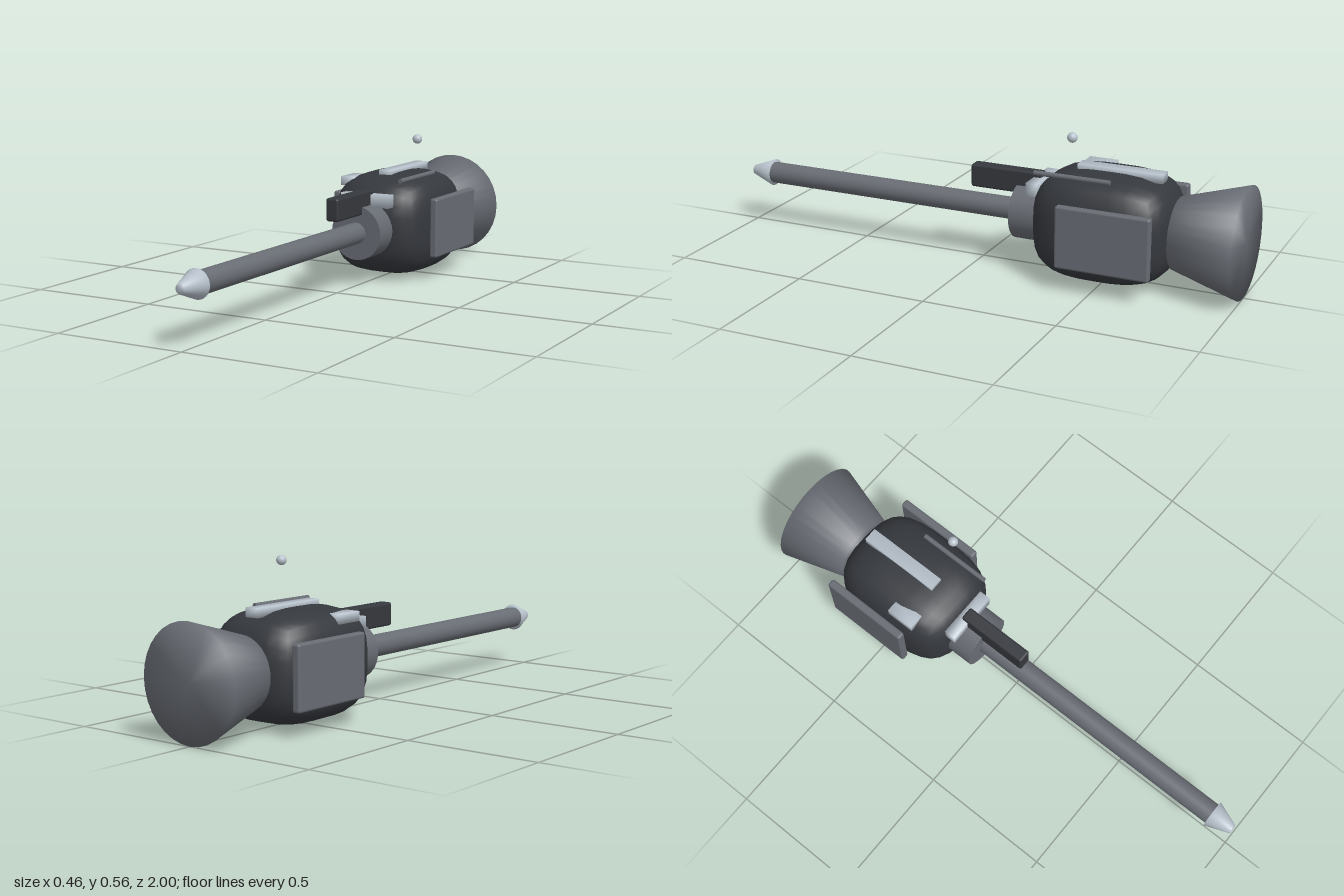
import * as THREE from 'three';
import { mergeVertices } from 'three/addons/utils/BufferGeometryUtils.js';
import { RoundedBoxGeometry } from 'three/addons/geometries/RoundedBoxGeometry.js';

const AXIS_Y = 0.205;
const dark = new THREE.MeshStandardMaterial({ color: 0x35383d });
const mid = new THREE.MeshStandardMaterial({ color: 0x686c73 });
const light = new THREE.MeshStandardMaterial({ color: 0xb8c2cc });

// Shares vertices so that the normals run smoothly over every edge
function smooth(geometry) {
  geometry.deleteAttribute('uv');
  geometry.deleteAttribute('normal');
  const merged = mergeVertices(geometry, 1e-4);
  merged.computeVertexNormals();
  return merged;
}

// Closed round section along z, from the back to the front
function round(zBack, zFront, rBack, rFront) {
  const g = new THREE.CylinderGeometry(rFront, rBack, zFront - zBack, 32);
  g.rotateX(Math.PI / 2);
  g.translate(0, AXIS_Y, (zBack + zFront) / 2);
  return g;
}

// Box given by its limits, with rounded edges
function roundedBox(x0, x1, y0, y1, z0, z1, radius) {
  const g = new RoundedBoxGeometry(x1 - x0, y1 - y0, z1 - z0, 2, radius);
  g.translate((x0 + x1) / 2, (y0 + y1) / 2, (z0 + z1) / 2);
  return g;
}

// Box given by its limits, shaded softly over its edges
function softBox(x0, x1, y0, y1, z0, z1) {
  const g = new THREE.BoxGeometry(x1 - x0, y1 - y0, z1 - z0);
  g.translate((x0 + x1) / 2, (y0 + y1) / 2, (z0 + z1) / 2);
  return smooth(g);
}

// Cube pushed out to a superellipsoid
function pillow(halfX, halfY, halfZ, power) {
  const g = smooth(new THREE.BoxGeometry(2, 2, 2, 8, 8, 8));
  const p = g.attributes.position;
  const v = new THREE.Vector3();
  for (let i = 0; i < p.count; i++) {
    v.fromBufferAttribute(p, i);
    const sum = Math.abs(v.x) ** power + Math.abs(v.y) ** power + Math.abs(v.z) ** power;
    v.multiplyScalar(sum ** (-1 / power));
    p.setXYZ(i, v.x * halfX, v.y * halfY, v.z * halfZ);
  }
  g.computeVertexNormals();
  return g;
}

export function createModel() {
  const model = new THREE.Group();
  model.name = 'model';
  const add = (name, geometry, material) => {
    const mesh = new THREE.Mesh(geometry, material);
    mesh.name = name;
    model.add(mesh);
    return mesh;
  };

  // Body and the flared nozzle behind it
  add('body', pillow(0.205, 0.198, 0.262, 3.2), dark).position.set(0, 0.207, -0.496);
  add('nozzle', smooth(round(-1, -0.755, 0.204, 0.132)), mid);

  // Barrel with its collar and tip
  add('collar', round(-0.26, -0.145, 0.104, 0.104), mid);
  add('barrel', smooth(round(-0.2, 0.92, 0.041, 0.041)), mid);
  add('tip', smooth(round(0.91, 1, 0.052, 0.018)), light);

  // Side panels
  for (const side of [1, -1]) {
    const panel = roundedBox(-0.016, 0.016, 0.09, 0.32, -0.725, -0.375, 0.009);
    add(side > 0 ? 'leftPanel' : 'rightPanel', panel, mid).position.x = side * 0.212;
  }

  // Cross block and forward bar above the barrel
  add('crossBlock', softBox(-0.102, 0.102, 0.296, 0.345, -0.256, -0.212), light);
  add('forwardBar', roundedBox(-0.026, 0.026, 0.275, 0.362, -0.24, 0.04, 0.009), dark);

  // Fittings on the top
  add('topStrip', softBox(-0.026, 0.026, 0.385, 0.418, -0.7, -0.38), light);
  add('sideBlock', softBox(-0.181, -0.122, 0.35, 0.385, -0.46, -0.35), light);
  const rod = new THREE.CylinderGeometry(0.009, 0.009, 0.285, 12);
  rod.rotateX(Math.PI / 2);
  add('antennaRod', rod, mid).position.set(0.129, 0.398, -0.4);
  add('antennaBall', new THREE.SphereGeometry(0.0185, 16, 12), light).position.set(0.129, 0.545, -0.4);

  return model;
}
